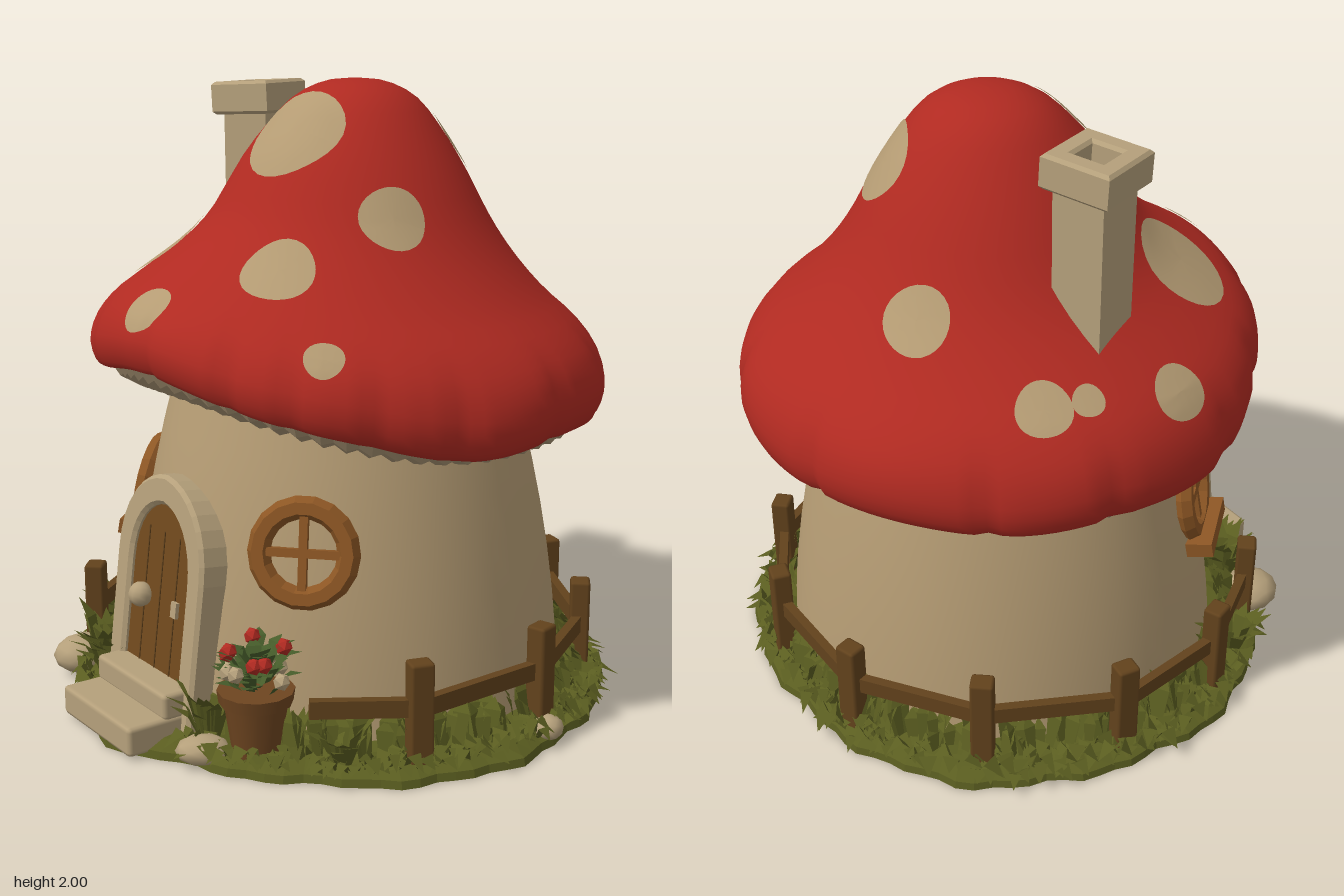
import * as THREE from 'three';
import { mergeVertices } from 'three/addons/utils/BufferGeometryUtils.js';
import { RoundedBoxGeometry } from 'three/addons/geometries/RoundedBoxGeometry.js';

const mat = (name, color, extra = {}) =>
  Object.assign(new THREE.MeshStandardMaterial({ color, ...extra }), { name });
const V2 = (a) => a.map(([x, y]) => new THREE.Vector2(x, y));
const clamp = THREE.MathUtils.clamp;

export function createModel() {
  const root = new THREE.Group();
  root.name = 'mushroomHouse';
  const M = {
    red: mat('capRed', 0xb02a21),
    cream: mat('plasterCream', 0xb49b73),
    gill: mat('gillTan', 0xa79272),
    stone: mat('stoneBeige', 0xb5a07b),
    frame: mat('windowWood', 0x8c5624),
    door: mat('doorWood', 0x71491d),
    fence: mat('fenceWood', 0x62421c),
    pot: mat('potClay', 0x6e4520),
    grass: mat('grassGreen', 0x5a5d20, { side: THREE.DoubleSide }),
    leaf: mat('plantGreen', 0x465c2a, { side: THREE.DoubleSide }),
  };
  let seed = 7;
  const rnd = (a = 0, b = 1) => {
    seed = (seed * 16807) % 2147483647;
    return a + (b - a) * (seed / 2147483647);
  };
  const add = (name, geo, m, parent = root, x = 0, y = 0, z = 0) => {
    const mesh = new THREE.Mesh(geo, m);
    mesh.name = name;
    mesh.position.set(x, y, z);
    parent.add(mesh);
    return mesh;
  };
  const group = (name, x = 0, y = 0, z = 0) => {
    const g = new THREE.Group();
    g.name = name;
    g.position.set(x, y, z);
    g.rotation.order = 'YXZ';
    root.add(g);
    return g;
  };
  // Moves every vertex by a rule in cylinder coordinates and closes the seam
  const warp = (geo, rule) => {
    const p = geo.attributes.position;
    for (let i = 0; i < p.count; i++) {
      const x = p.getX(i), y = p.getY(i), z = p.getZ(i);
      p.setXYZ(i, ...rule(Math.hypot(x, z), Math.atan2(x, z), y));
    }
    geo.deleteAttribute('uv');
    geo.deleteAttribute('normal');
    const out = mergeVertices(geo, 1e-4);
    out.computeVertexNormals();
    return out;
  };
  const bell = (v, mid, w) => Math.exp(-(((v - mid) / w) ** 2));
  const toward = (a, dir) => Math.max(0, Math.cos(a - dir)) ** 2;

  // Wall
  const wallZ = -0.045;
  const wallR = (y) => 0.738 - 0.072 * y - 0.1 * y * y;
  const wallPts = [0, 0.15, 0.3, 0.45, 0.6, 0.75, 0.9, 1.1].map((y) => [wallR(y), y]);
  add('wall', warp(new THREE.LatheGeometry(V2(wallPts), 48), (r, a, y) => {
    r += 0.005 * Math.sin(5 * a + 3 * y);
    return [r * Math.sin(a), y, r * Math.cos(a) + wallZ];
  }), M.cream);

  // Cap, with its rim raised over the door, fuller on one side and creased around the edge
  const lift = (a) => 0.2 * toward(a, 0);
  const tuck = (a) => 1 - 0.045 * toward(a, 0);
  const creases = [-2.9, -2.2, -1.75, -1.2, -0.85, -0.45, 0.1, 0.5, 0.75, 1.05, 1.35, 1.8, 2.25, 2.75];
  const capCurve = new THREE.SplineCurve(V2([[0.74, 0.97], [0.79, 0.94], [0.83, 0.96], [0.85, 1.04], [0.825, 1.14],
    [0.755, 1.23], [0.645, 1.325], [0.54, 1.44], [0.455, 1.56], [0.37, 1.71], [0.285, 1.84], [0.2, 1.94], [0.1, 1.99], [0, 2.0]]));
  const capPts = capCurve.getPoints(32);
  capPts.forEach((p) => { p.x = Math.max(0, p.x); p.y = Math.min(2, p.y); });
  const cap = add('cap', warp(new THREE.LatheGeometry(capPts, 128), (r, a, y) => {
    const rim = clamp((1.25 - y) / 0.15, 0, 1);
    let dent = 0;
    for (const c of creases) dent += bell(a, c, 0.035);
    r -= rim * (0.018 * dent - 0.004 * Math.sin(9 * a));
    r = r * tuck(a) + 0.045 * toward(a, -1.15) * bell(y, 1.31, 0.13) + 0.03 * toward(a, 0) * bell(y, 1.74, 0.15);
    const yy = y + lift(a) * clamp(1 - (y - 1) / 0.7, 0, 1) + rim * 0.008 * Math.sin(7 * a + 1);
    return [r * Math.sin(a), yy, r * Math.cos(a) - 0.05 - 0.045 * (y - 1.1)];
  }), M.red);

  // Gills: alternate ridges under the rim
  const N = 128;
  const gillGeo = warp(new THREE.LatheGeometry(V2([[0.53, 0.95], [0.6, 0.915], [0.69, 0.905], [0.76, 0.92], [0.815, 0.99]]), N), (r, a, y) => {
    const ridge = Math.round((a / (2 * Math.PI)) * N) % 2 === 0 ? 0.01 : -0.008;
    const yy = y + ridge + lift(a) * clamp(0.5 + (r - 0.55) * 2, 0.45, 1);
    r *= tuck(a);
    return [r * Math.sin(a), yy, r * Math.cos(a) - 0.05];
  });
  add('gills', gillGeo.toNonIndexed(), M.gill).geometry.computeVertexNormals();

  // Spots: thin discs laid on the cap surface [x, y, z, radius]
  const ray = new THREE.Raycaster();
  const core = new THREE.Vector3(0, 1.2, -0.06);
  cap.updateMatrixWorld(true);
  const hitCap = (from, dir) => {
    ray.set(from, dir);
    return ray.intersectObject(cap)[0];
  };
  const spots = [[0.055, 1.865, 0.2, 0.168], [-0.42, 1.475, 0.4, 0.172], [0.3, 1.47, 0.43, 0.115], [0.01, 1.34, 0.69, 0.085],
    [0.57, 1.25, 0.45, 0.06], [0.45, 1.645, 0.09, 0.105], [-0.36, 1.75, 0.12, 0.102], [-0.78, 1.265, 0.09, 0.088],
    [0.14, 1.82, -0.39, 0.135], [-0.28, 1.48, -0.54, 0.107], [-0.67, 1.3, -0.34, 0.085], [-0.67, 1.3, -0.2, 0.05]];
  for (const [x, y, z, rad] of spots) {
    const d = new THREE.Vector3(x, y, z).sub(core).normalize();
    const hit = hitCap(core.clone().addScaledVector(d, 2), d.clone().negate());
    const n = hit.face.normal.clone();
    const q = new THREE.Quaternion().setFromUnitVectors(new THREE.Vector3(0, 0, 1), n);
    const geo = new THREE.RingGeometry(0, rad, 28, 4);
    const p = geo.attributes.position, v = new THREE.Vector3();
    for (let i = 0; i < p.count; i++) {
      v.fromBufferAttribute(p, i);
      v.multiplyScalar(1 + 0.03 * Math.sin(3 * Math.atan2(v.y, v.x) + x * 9)).applyQuaternion(q).add(hit.point);
      const h = hitCap(v.clone().addScaledVector(n, 0.3), n.clone().negate());
      if (h) v.copy(h.point);
      v.addScaledVector(n, 0.006);
      p.setXYZ(i, v.x, v.y, v.z);
    }
    geo.computeVertexNormals();
    add('capSpot', geo, M.cream);
  }

  // Chimney
  const chimney = group('chimney', -0.5, 0, -0.06);
  chimney.rotation.y = 0.35;
  const shaft = new THREE.CylinderGeometry(0.122, 0.118, 0.62, 4, 1).rotateY(Math.PI / 4).toNonIndexed();
  shaft.computeVertexNormals();
  add('chimneyShaft', shaft, M.stone, chimney, 0, 1.59, 0);
  const square = (s) => V2([[-s, -s], [s, -s], [s, s], [-s, s]]);
  const rimShape = new THREE.Shape(square(0.105));
  rimShape.holes.push(new THREE.Path(square(0.06).reverse()));
  const rimGeo = new THREE.ExtrudeGeometry(rimShape, { depth: 0.09, bevelSize: 0.01, bevelThickness: 0.01, bevelSegments: 1 });
  add('chimneyRim', rimGeo.rotateX(-Math.PI / 2), M.stone, chimney, 0, 1.875, 0).rotation.z = 0.05;

  // Door with its stone arch
  const arch = (w, bottom, spring, top, Type) => {
    const s = new Type();
    s.moveTo(-w, bottom);
    s.lineTo(w, bottom);
    s.lineTo(w, spring);
    s.bezierCurveTo(w, spring + (top - spring) * 0.6, w * 0.55, top - 0.01, 0, top);
    s.bezierCurveTo(-w * 0.55, top - 0.01, -w, spring + (top - spring) * 0.6, -w, spring);
    s.closePath();
    return s;
  };
  const doorway = group('doorway', -0.01, 0, 0.74);
  doorway.rotation.x = -0.125;
  const frameShape = arch(0.24, 0.05, 0.52, 0.8, THREE.Shape);
  frameShape.holes.push(arch(0.18, 0.1, 0.5, 0.73, THREE.Path));
  add('doorArch', new THREE.ExtrudeGeometry(frameShape, { depth: 0.11, bevelSize: 0.012, bevelThickness: 0.012, bevelSegments: 1, curveSegments: 8 }), M.stone, doorway, 0, 0, -0.122);
  add('door', new THREE.ExtrudeGeometry(arch(0.185, 0.1, 0.5, 0.735, THREE.Shape), { depth: 0.06, bevelEnabled: false, curveSegments: 8 }), M.door, doorway, 0, 0, -0.08);
  for (const x of [-0.09, 0, 0.09]) add('doorGroove', new THREE.BoxGeometry(0.005, 0.46, 0.004), M.fence, doorway, x, 0.4, -0.019);
  add('doorKnob', new THREE.SphereGeometry(0.04, 10, 8), M.stone, doorway, -0.085, 0.405, 0);
  add('doorLatch', new THREE.BoxGeometry(0.03, 0.05, 0.015), M.stone, doorway, 0.1, 0.405, -0.015);

  // Steps
  add('lowerStep', new RoundedBoxGeometry(0.42, 0.095, 0.3, 1, 0.015), M.stone, root, -0.005, 0.06, 0.765);
  add('upperStep', new RoundedBoxGeometry(0.42, 0.085, 0.17, 1, 0.015), M.stone, root, -0.005, 0.14, 0.705);

  // Round windows
  for (const [a, sill] of [[0.745, false], [-0.845, true]]) {
    const y = 0.635, r = wallR(y);
    const w = group('window', r * Math.sin(a), y, r * Math.cos(a) + wallZ);
    w.rotation.set(-0.18, a, 0);
    const ring = new THREE.TorusGeometry(0.138, 0.036, 6, 18).toNonIndexed();
    ring.computeVertexNormals();
    add('windowRing', ring, M.frame, w);
    add('windowBarUpright', new THREE.BoxGeometry(0.026, 0.26, 0.03), M.frame, w, 0, 0, 0.005);
    add('windowBarLevel', new THREE.BoxGeometry(0.26, 0.026, 0.03), M.frame, w, 0, 0, 0.005);
    if (sill) add('windowSill', new THREE.BoxGeometry(0.27, 0.05, 0.09), M.frame, w, -0.01, -0.15, 0.03);
  }

  // Ground, reaching out under the steps
  const edge = (a) => 1 + 0.014 * Math.sin(5 * a + 1) + 0.012 * Math.sin(13 * a) + 0.01 * Math.sin(29 * a)
    + 0.06 * Math.exp(-((a / 0.22) ** 4));
  const ground = warp(new THREE.LatheGeometry(V2([[0, 0], [0.87, 0], [0.865, 0.025], [0.82, 0.05], [0.68, 0.07]]), 96), (r, a, y) =>
    [r * edge(a) * Math.sin(a) * 1.04, y, r * edge(a) * Math.cos(a) - 0.03]);
  add('ground', ground.toNonIndexed(), M.grass).geometry.computeVertexNormals();

  // Bent leaf blades gathered into one geometry; tip sets how high the point ends
  const blade = (out, x, y, z, h, w, a, lean, tip = 1.3) => {
    const at = (f, up, s) => [x + Math.sin(a) * f + Math.cos(a) * s, Math.max(0.004, y + up), z + Math.cos(a) * f - Math.sin(a) * s];
    const b1 = at(0, 0, -w * 0.5), b2 = at(0, 0, w * 0.5);
    const m1 = at(lean * 0.45, h * 0.75, -w), m2 = at(lean * 0.45, h * 0.75, w), t = at(lean, h * 0.75 * tip, 0);
    out.push(...b1, ...b2, ...m2, ...b1, ...m2, ...m1, ...m1, ...m2, ...t);
  };
  const leafMesh = (name, out, m) => {
    const g = new THREE.BufferGeometry();
    g.setAttribute('position', new THREE.Float32BufferAttribute(out, 3));
    g.computeVertexNormals();
    add(name, g, m);
  };
  const grass = [];
  for (let i = 0; i < 950; i++) {
    const a = rnd(-Math.PI, Math.PI), inner = i % 5 < 2;
    const r = inner ? rnd(0.755, 0.81) : rnd(0.76, 0.85);
    const x = r * Math.sin(a) * 1.03, z = r * Math.cos(a) - 0.03;
    if (Math.abs(x) < 0.28 && z > 0) continue;
    // upright blades against the wall, drooping ones towards the edge
    if (inner) blade(grass, x, 0.04, z, rnd(0.08, 0.17), rnd(0.018, 0.03), a + Math.PI + rnd(-1.2, 1.2), rnd(0.03, 0.07));
    else blade(grass, x, 0.03, z, rnd(0.03, 0.1), rnd(0.018, 0.032), a + rnd(-1.4, 1.4), rnd(0.05, 0.1), 0.35);
  }
  // Tall tufts [x, z, height]
  for (const [x, z, h] of [[-0.36, 0.67, 0.27], [-0.29, 0.68, 0.2], [0.29, 0.68, 0.22], [-0.68, 0.45, 0.2], [0.66, 0.45, 0.18]])
    for (let i = 0; i < 18; i++) {
      const a = i * 2.4;
      blade(grass, x + 0.02 * Math.sin(a), 0.03, z + 0.02 * Math.cos(a), h * rnd(0.55, 1), 0.024, a, rnd(0.05, 0.13));
    }
  leafMesh('grassBlades', grass, M.grass);

  // Fence around the sides and back
  const posts = [71, 104, 137, 166, 198, 230, 262, 291, 318].map((d) => (d * Math.PI) / 180);
  const spot = (a, r = 0.825) => [r * Math.sin(a), r * Math.cos(a) - 0.01];
  posts.forEach((a, i) => {
    const [x, z] = spot(a);
    const post = add('fencePost', new RoundedBoxGeometry(0.075, 0.35, 0.065, 1, 0.01), M.fence, root, x, 0.185 + 0.01 * (i % 2), z);
    post.rotation.y = a;
  });
  const ends = [0.84, ...posts];
  for (let i = 0; i < ends.length - 1; i++) {
    const [x1, z1] = spot(ends[i]), [x2, z2] = spot(ends[i + 1]);
    const rail = add('fenceRail', new THREE.BoxGeometry(Math.hypot(x2 - x1, z2 - z1), 0.055, 0.03), M.fence, root, (x1 + x2) / 2, 0.22, (z1 + z2) / 2);
    rail.rotation.set(0, Math.atan2(z1 - z2, x2 - x1), i % 2 ? 0.03 : -0.03);
  }

  // Flower pot
  const pot = group('flowerPot', 0.455, 0, 0.62);
  add('potBody', new THREE.CylinderGeometry(0.1, 0.072, 0.18, 12), M.pot, pot, 0, 0.14, 0);
  add('potRim', new THREE.CylinderGeometry(0.118, 0.112, 0.04, 12), M.pot, pot, 0, 0.235, 0);
  const leaves = [];
  for (let i = 0; i < 60; i++) {
    const a = i * 2.4, r = rnd(0, 0.07);
    blade(leaves, 0.455 + r * Math.sin(a), rnd(0.25, 0.35), 0.62 + r * Math.cos(a), rnd(0.02, 0.08), 0.024, a, rnd(0.05, 0.09));
  }
  leafMesh('potLeaves', leaves, M.leaf);
  for (let i = 0; i < 14; i++) {
    const a = i * 2.4, up = i % 2;
    const r = up ? 0.085 : 0.1;
    add('flower', new THREE.IcosahedronGeometry(0.027, 0), up ? M.red : M.stone, pot, r * Math.sin(a), (up ? 0.37 : 0.305) + rnd(-0.02, 0.03), r * Math.cos(a));
  }

  // Boulders [x, y, z, width, height, depth]
  for (const [x, y, z, w, h, d] of [[-0.495, 0.07, 0.69, 0.105, 0.065, 0.095], [0.345, 0.05, 0.74, 0.085, 0.045, 0.065],
    [0.85, 0.05, -0.2, 0.05, 0.04, 0.05]]) {
    const b = add('boulder', new THREE.IcosahedronGeometry(1, 1), M.stone, root, x, y, z);
    b.scale.set(w, h, d);
    b.rotation.y = x * 3;
  }
  return root;
}
